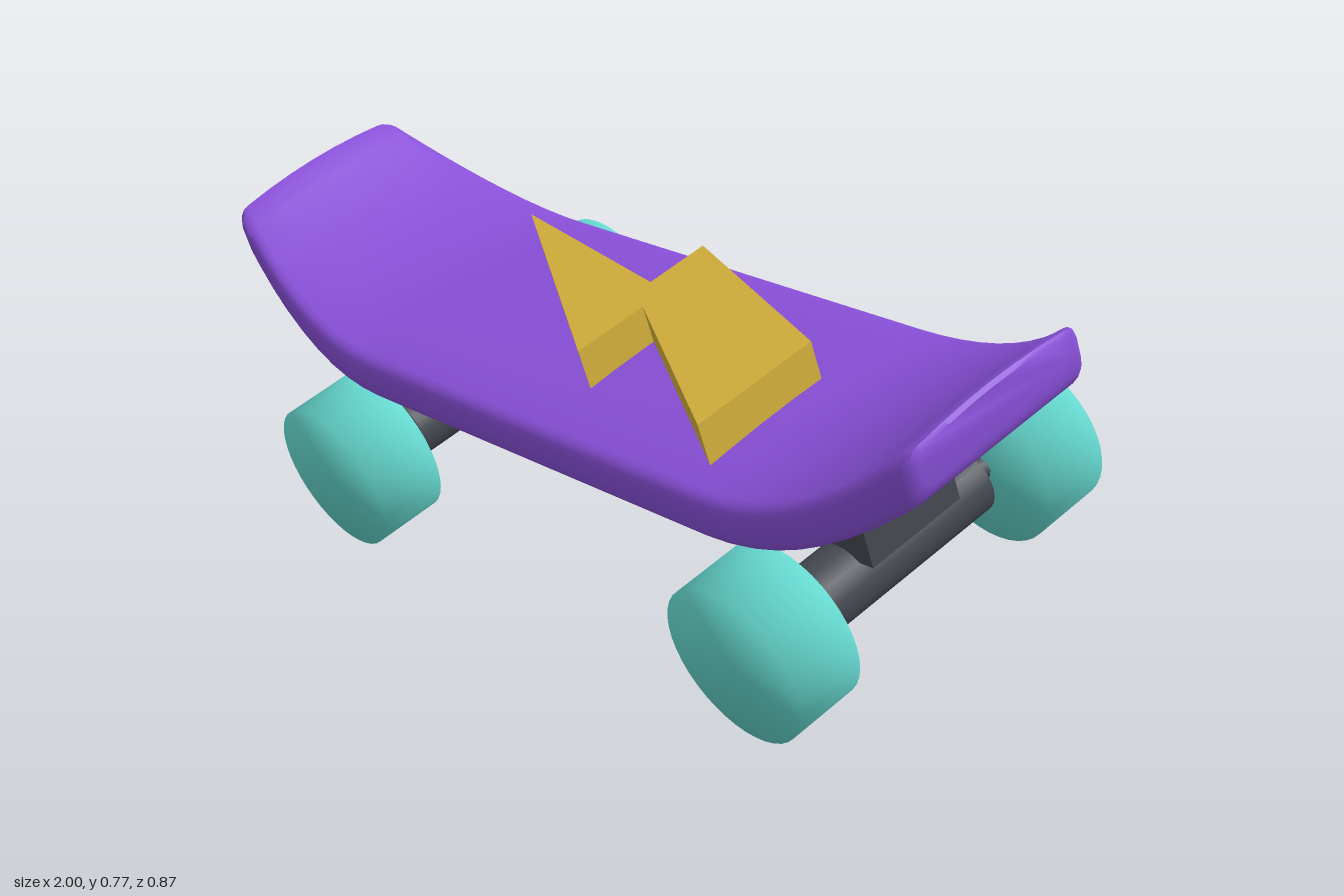
import * as THREE from 'three';
import { mergeVertices, toCreasedNormals } from 'three/addons/utils/BufferGeometryUtils.js';

const MID = -0.1; // centre line of the board before it is tilted

const flat = (name, color) => {
  const m = new THREE.MeshStandardMaterial({ color });
  m.name = name;
  return m;
};

function addMesh(parent, name, geometry, material, x = 0, y = 0, z = 0) {
  const mesh = new THREE.Mesh(geometry, material);
  mesh.name = name;
  mesh.position.set(x, y, z);
  parent.add(mesh);
  return mesh;
}

// Rounded deck cross-section at x, as [z, y] pairs; inset shrinks it
function deckSection(x, inset) {
  const t = Math.max(0, (Math.abs(x) - 0.5) / 0.5) ** 2;
  const h = 0.3 - 0.09 * t - inset;
  const bottom = 0.437 + 0.188 * t + inset;
  const top = 0.535 + 0.2 * t - inset;
  const r = 0.028;
  const ring = [];
  const corner = (z, y, start) => {
    for (let i = 0; i <= 3; i++) {
      const a = start + (i / 3) * Math.PI / 2;
      ring.push([MID + z + r * Math.cos(a), y + r * Math.sin(a)]);
    }
  };
  corner(-h + r, bottom + r, Math.PI);
  corner(h - r, bottom + r, -Math.PI / 2);
  corner(h - r, top - r, 0);
  // slightly crowned top
  for (let i = 1; i < 6; i++) {
    const u = 1 - i / 3;
    ring.push([MID + u * (h - r), top + 0.012 * (1 - u * u)]);
  }
  corner(-h + r, top - r, Math.PI / 2);
  return ring;
}

// Deck lofted along x, with upswept tapered ends
function deckGeometry() {
  const stations = [[-1, 0.018], [-0.994, 0.006], [-0.98, 0]];
  for (let i = -9; i <= 9; i++) {
    if (i !== 0) stations.push([Math.sign(i) * (0.45 + Math.abs(i) * 0.055), 0]);
  }
  stations.push([0.98, 0], [0.994, 0.006], [1, 0.018]);
  stations.sort((a, b) => a[0] - b[0]);

  const positions = [];
  const index = [];
  let n = 0;
  for (const [x, inset] of stations) {
    const ring = deckSection(x, inset);
    n = ring.length;
    for (const [z, y] of ring) positions.push(x, y, z);
  }
  const last = (stations.length - 1) * n;
  for (let s = 0; s < last; s += n) {
    for (let k = 0; k < n; k++) {
      const a = s + k, b = s + (k + 1) % n;
      index.push(a, a + n, b, b, a + n, b + n);
    }
  }
  for (let k = 1; k < n - 1; k++) {
    index.push(0, k, k + 1, last, last + k + 1, last + k);
  }
  const g = new THREE.BufferGeometry();
  g.setAttribute('position', new THREE.Float32BufferAttribute(positions, 3));
  g.setIndex(index);
  return toCreasedNormals(g, 0.65);
}

// Zigzag bolt plate, scaled about the centre line
function boltGeometry(scale, depth) {
  const outline = [
    [-0.47, -0.262], [0, -0.183], [0, -0.325], [0.465, -0.168],
    [0.465, 0.119], [0.055, -0.113], [0.055, 0.054],
  ];
  const shape = new THREE.Shape(outline.map(([x, z]) =>
    new THREE.Vector2(x * scale, -(MID + (z - MID) * scale))));
  return new THREE.ExtrudeGeometry(shape, { depth, bevelEnabled: false }).rotateX(-Math.PI / 2);
}

const rod = (radius, length, sides) =>
  new THREE.CylinderGeometry(radius, radius, length, sides).rotateX(Math.PI / 2);

// Wheel shaded softly across its rims
function wheelGeometry() {
  const g = rod(0.163, 0.15, 40);
  g.deleteAttribute('normal');
  g.deleteAttribute('uv');
  const merged = mergeVertices(g);
  merged.computeVertexNormals();
  return merged;
}

export function createModel() {
  const purple = flat('deck purple', 0x8a50da);
  const teal = flat('wheel teal', 0x66d9d0);
  const gold = flat('bolt gold', 0xd4b03c);
  const grey = flat('truck grey', 0x454951);

  const model = new THREE.Group();
  model.name = 'skateboard';
  const board = new THREE.Group();
  board.name = 'tiltedBoard';
  board.rotation.x = THREE.MathUtils.degToRad(20);
  model.add(board);

  addMesh(board, 'deck', deckGeometry(), purple);
  addMesh(board, 'topBolt', boltGeometry(1, 0.087), gold, 0, 0.54, 0);
  addMesh(board, 'undersideBolt', boltGeometry(0.9, 0.045), gold, 0, 0.409, 0);

  // Trucks and wheels
  const wheel = wheelGeometry();
  for (const side of [-1, 1]) {
    const truck = new THREE.Group();
    truck.name = side > 0 ? 'leftTruck' : 'rightTruck';
    truck.position.set(side * 0.62, 0.276, MID);
    board.add(truck);
    addMesh(truck, 'mountBlock', new THREE.BoxGeometry(0.17, 0.15, 0.229), grey, 0, 0.123, 0);
    addMesh(truck, 'hanger', rod(0.069, 0.42, 24), grey);
    addMesh(truck, 'axle', rod(0.023, 0.6, 8), grey);
    for (const end of [-1, 1]) {
      addMesh(truck, end > 0 ? 'frontWheel' : 'backWheel', wheel, teal, 0, 0, end * 0.327);
    }
  }
  return model;
}
